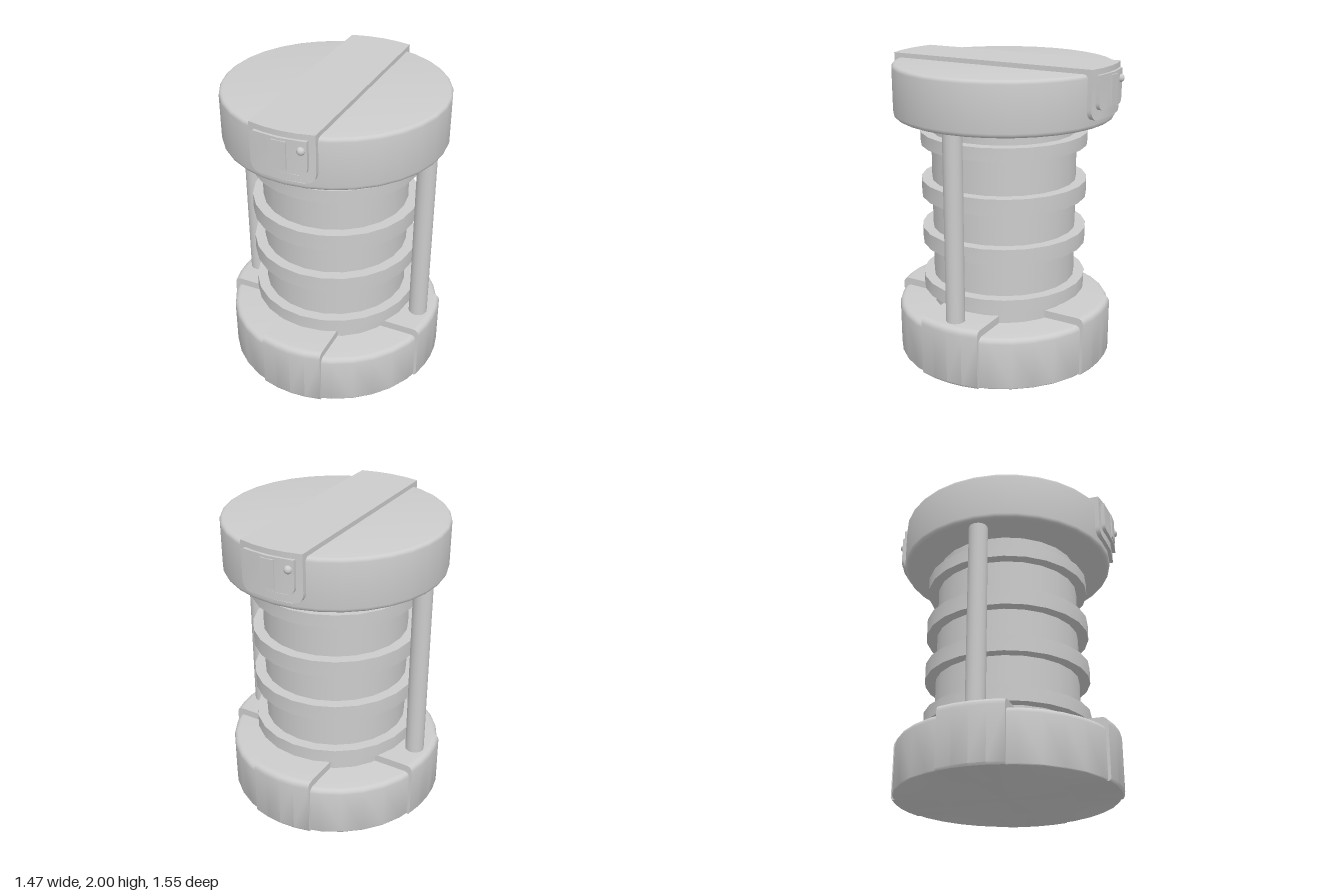
import * as THREE from 'three';
import { mergeGeometries, toCreasedNormals } from 'three/addons/utils/BufferGeometryUtils.js';

const material = new THREE.MeshStandardMaterial({ color: 0xcccccc });

function part(name, geometry, parent) {
  const mesh = new THREE.Mesh(toCreasedNormals(geometry, 0.6), material);
  mesh.name = name;
  parent.add(mesh);
  return mesh;
}

// Turned disc with rounded lower and upper rims
function disc(radius, y0, y1, lowRound, highRound, sides) {
  const points = [new THREE.Vector2(0, y0)];
  for (let i = 0; i <= 4; i++) {
    const a = (i / 4) * Math.PI / 2;
    points.push(new THREE.Vector2(radius - lowRound * (1 - Math.sin(a)), y0 + lowRound * (1 - Math.cos(a))));
  }
  for (let i = 0; i <= 4; i++) {
    const a = (i / 4) * Math.PI / 2;
    points.push(new THREE.Vector2(radius - highRound * (1 - Math.cos(a)), y1 - highRound * (1 - Math.sin(a))));
  }
  points.push(new THREE.Vector2(0, y1));
  return new THREE.LatheGeometry(points, sides);
}

// Curves the ends of a part around the drum
function bend(geometry, radius) {
  const p = geometry.attributes.position;
  for (let i = 0; i < p.count; i++) {
    const x = p.getX(i), z = p.getZ(i);
    p.setZ(i, z + Math.sign(z) * (Math.sqrt(radius * radius - x * x) - radius));
  }
  return geometry;
}

// Curved plate with rounded lower corners, made as two halves
function plate(halfWidth, y0, y1, corner, front, thickness) {
  const halves = [-1, 1].map((s) => {
    const shape = new THREE.Shape();
    shape.moveTo(0, y0);
    shape.lineTo(s * (halfWidth - corner), y0);
    shape.quadraticCurveTo(s * halfWidth, y0, s * halfWidth, y0 + corner);
    shape.lineTo(s * halfWidth, y1);
    shape.lineTo(0, y1);
    const g = new THREE.ExtrudeGeometry(shape, { depth: thickness, bevelEnabled: false, curveSegments: 6 });
    return g.translate(0, 0, front - thickness);
  });
  return bend(mergeGeometries(halves), front);
}

// Foot block: rounded side profile swept across its width
function footGeometry() {
  const shape = new THREE.Shape();
  shape.moveTo(-0.42, 0);
  shape.lineTo(-0.725, 0);
  shape.lineTo(-0.735, 0.015);
  shape.lineTo(-0.735, 0.355);
  shape.quadraticCurveTo(-0.735, 0.4, -0.69, 0.4);
  shape.lineTo(-0.42, 0.4);
  const g = new THREE.ExtrudeGeometry(shape, { depth: 0.42, steps: 4, bevelEnabled: false, curveSegments: 5 });
  g.translate(0, 0, -0.21);
  g.rotateY(Math.PI / 2);
  return bend(g, 0.735);
}

export function createModel() {
  const model = new THREE.Group();
  model.name = 'canister';

  // Main drums
  part('base', disc(0.72, 0, 0.35, 0.01, 0.035, 32), model);
  part('cap', disc(0.72, 1.63, 1.97, 0.03, 0.025, 32), model);

  // Core and its rings
  part('core', new THREE.CylinderGeometry(0.48, 0.48, 1.4, 24).translate(0, 1, 0), model);
  for (const [y, h] of [[0.495, 0.09], [0.83, 0.105], [1.155, 0.11], [1.49, 0.085]]) {
    part('ring', new THREE.CylinderGeometry(0.55, 0.55, h, 24).translate(0, y, 0), model);
  }

  // Side rods
  for (const s of [-1, 1]) {
    part('rod', new THREE.CylinderGeometry(0.062, 0.062, 1.34, 16).translate(s * 0.62, 1, 0), model);
  }

  // Four foot blocks around the base
  for (let i = 0; i < 4; i++) {
    part('footBlock', footGeometry(), model).rotation.y = i * Math.PI / 2;
  }

  // Strap across the cap
  const strap = new THREE.BoxGeometry(0.42, 0.05, 1.49, 4, 1, 1).translate(0, 1.975, 0);
  part('strap', bend(strap, 0.745), model);

  // Control panel at both ends of the strap
  for (const angle of [0, Math.PI]) {
    const panel = new THREE.Group();
    panel.name = 'controlPanel';
    panel.rotation.y = angle;
    model.add(panel);
    part('strapEnd', plate(0.21, 1.69, 2, 0.07, 0.745, 0.06), panel);
    part('panelFace', plate(0.17, 1.75, 1.965, 0.05, 0.765, 0.03), panel);
    part('switch', new THREE.BoxGeometry(0.09, 0.18, 0.03).translate(0.004, 1.86, 0.755), panel);
    part('knob', new THREE.SphereGeometry(0.026, 12, 8).translate(0.135, 1.905, 0.749), panel);
  }
  return model;
}
